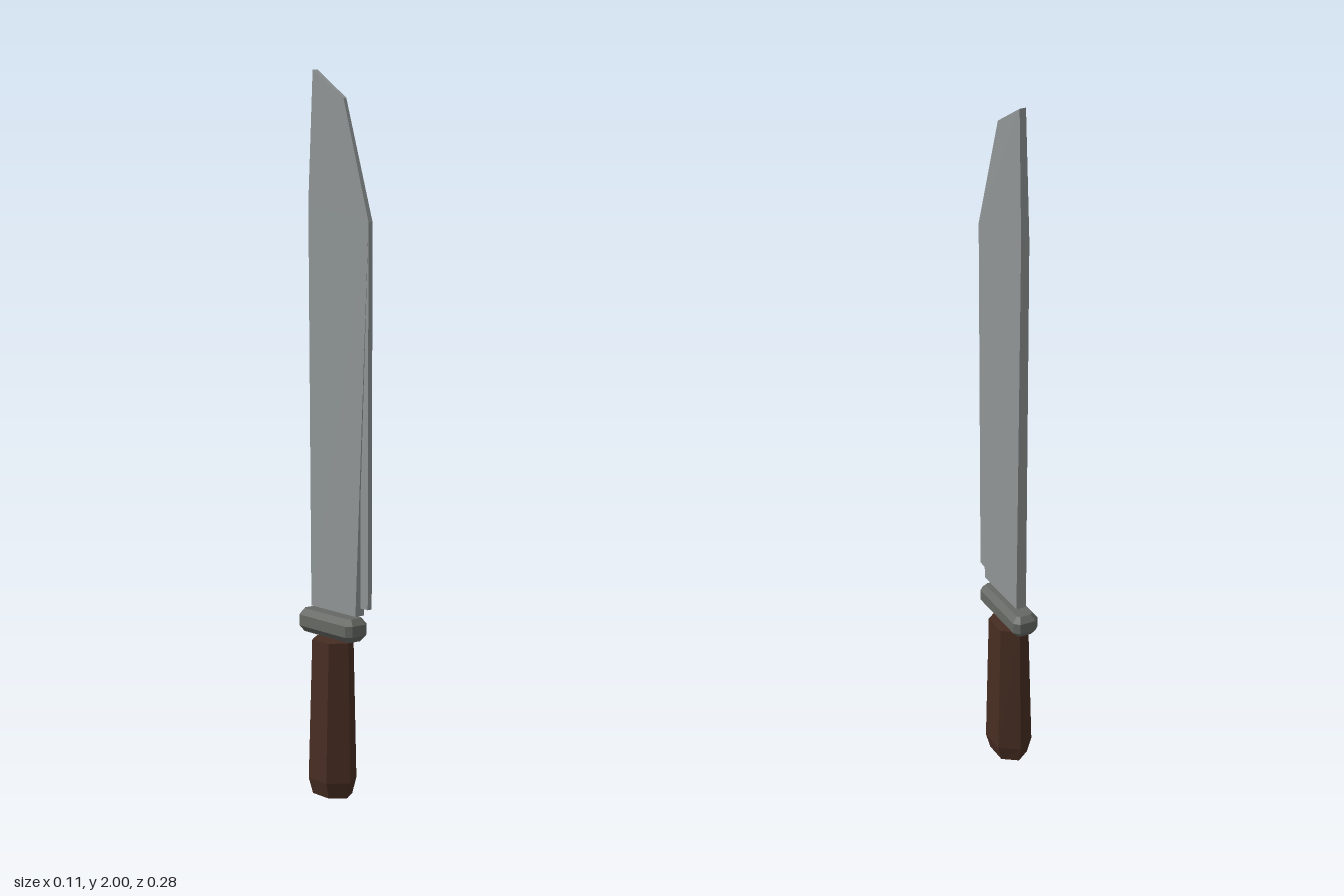
import * as THREE from 'three';

const paint = (name, color) => {
  const m = new THREE.MeshStandardMaterial({ color, flatShading: true });
  m.name = name;
  return m;
};

// Skins a stack of closed cross-sections, bottom to top, and caps both ends.
// Each section runs counter-clockwise seen from above.
function loft(sections) {
  const n = sections[0].length;
  const index = [];
  for (let s = 0; s < sections.length - 1; s++) {
    for (let i = 0; i < n; i++) {
      const j = (i + 1) % n;
      const a = s * n + i, b = s * n + j;
      index.push(a, b, b + n, a, b + n, a + n);
    }
  }
  const top = (sections.length - 1) * n;
  for (let i = 1; i < n - 1; i++) {
    index.push(0, i + 1, i);
    index.push(top, top + i, top + i + 1);
  }
  const g = new THREE.BufferGeometry();
  g.setAttribute('position', new THREE.Float32BufferAttribute(sections.flat(2), 3));
  g.setIndex(index);
  const flat = g.toNonIndexed();
  flat.computeVertexNormals();
  return flat;
}

// Four-cornered blade section: front and back edges as [z, y, half thickness]
const bladeSection = ([fz, fy, ft], [bz, by, bt]) => [
  [-ft, fy, fz], [ft, fy, fz], [bt, by, bz], [-bt, by, bz],
];

// Six-sided grip section with a ridge at the front and back
const gripSection = (y, w, front, sideFront, sideBack, back) => [
  [0, y, front], [w, y, sideFront], [w, y, sideBack],
  [0, y, back], [-w, y, sideBack], [-w, y, sideFront],
];

// Rectangle with cut corners for the guard
const guardSection = (y, w, front, back, c) => [
  [-w + c, y, front], [w - c, y, front], [w, y, front - c], [w, y, back + c],
  [w - c, y, back], [-w + c, y, back], [-w, y, back + c], [-w, y, front - c],
];

export function createModel() {
  const model = new THREE.Group();
  const steel = paint('blade steel', 0x8f9494);
  const iron = paint('dark guard metal', 0x656863);
  const wood = paint('dark wood', 0x472d22);

  const add = (name, geometry, material) => {
    const mesh = new THREE.Mesh(geometry, material);
    mesh.name = name;
    model.add(mesh);
  };

  // Main blade: thick at the spine and base, thin at the belly and point
  add('blade', loft([
    bladeSection([0.095, 0.525, 0.015], [-0.098, 0.525, 0.015]),
    bladeSection([0.138, 1.6, 0.007], [-0.113, 1.64, 0.012]),
    bladeSection([0.03, 1.925, 0.005], [-0.097, 2, 0.009]),
  ]), steel);

  // Straight cutting edge, standing clear of the blade near the guard
  add('cuttingEdge', loft([
    bladeSection([0.138, 0.55, 0.007], [0.109, 0.55, 0.009]),
    bladeSection([0.138, 1.6, 0.007], [0.109, 1.6, 0.007]),
  ]), steel);

  // Bevelled guard
  add('guard', loft([
    guardSection(0.45, 0.024, 0.078, -0.125, 0.008),
    guardSection(0.467, 0.038, 0.093, -0.138, 0.015),
    guardSection(0.498, 0.038, 0.093, -0.138, 0.015),
    guardSection(0.515, 0.024, 0.078, -0.125, 0.008),
  ]), iron);

  // Grip, flaring towards a chamfered butt
  add('handle', loft([
    gripSection(0, 0.042, 0.042, 0.012, -0.058, -0.088),
    gripSection(0.045, 0.054, 0.055, 0.016, -0.062, -0.098),
    gripSection(0.44, 0.044, 0.047, 0.015, -0.058, -0.09),
  ]), wood);

  return model;
}
